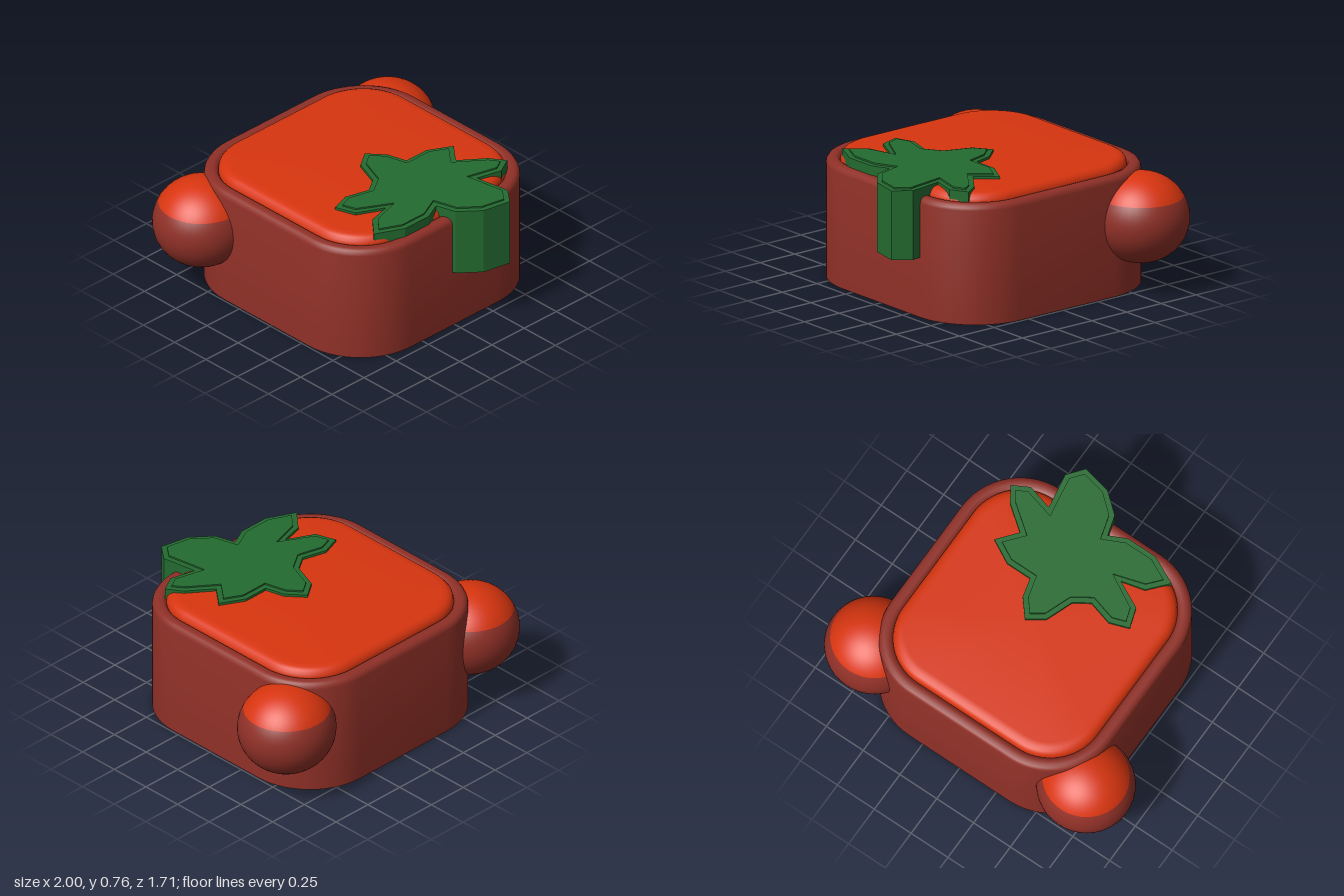
import * as THREE from 'three';
import { toCreasedNormals } from 'three/addons/utils/BufferGeometryUtils.js';

const paint = (name, color) => {
  const m = new THREE.MeshStandardMaterial({ color });
  m.name = name;
  return m;
};

// Rounded rectangle ring, counter-clockwise seen from above
const HALF = 0.74, CORNER = 0.4, CENTRE_Z = -0.04, STEPS = 14;
function ring(inset, y) {
  const pts = [];
  const r = Math.max(CORNER - inset, 0);
  const c = HALF - inset - r;
  for (let q = 0; q < 4; q++) {
    const mid = (q + 0.5) * Math.PI / 2;
    const cx = Math.sign(Math.cos(mid)) * c, cz = -Math.sign(Math.sin(mid)) * c;
    for (let i = 0; i <= STEPS; i++) {
      const a = (q + i / STEPS) * Math.PI / 2;
      pts.push([cx + r * Math.cos(a), y, CENTRE_Z + cz - r * Math.sin(a)]);
    }
  }
  return pts;
}

// Skin over rings described by [inset, height]
function loft(profile) {
  const rings = profile.map(([d, y]) => ring(d, y));
  const n = rings[0].length, index = [];
  for (let k = 0; k < rings.length - 1; k++) {
    for (let j = 0; j < n; j++) {
      const a = k * n + j, b = k * n + (j + 1) % n;
      index.push(a, b, b + n, a, b + n, a + n);
    }
  }
  const g = new THREE.BufferGeometry();
  g.setAttribute('position', new THREE.Float32BufferAttribute(rings.flat(2), 3));
  g.setIndex(index);
  return toCreasedNormals(g, 0.7);
}

// Leaf outline as [x, z]
const LEAF = [
  [0.05, -0.07], [-0.05, 0], [-0.11, 0.16], [-0.2, 0.22], [-0.345, 0.18], [-0.46, 0.22],
  [-0.42, 0.34], [-0.26, 0.42], [-0.4, 0.455], [-0.5, 0.57], [-0.335, 0.65], [-0.15, 0.65],
  [-0.045, 0.6], [-0.01, 0.72], [0.11, 0.82], [0.28, 0.855], [0.355, 0.76], [0.32, 0.55],
  [0.47, 0.59], [0.57, 0.535], [0.51, 0.445], [0.365, 0.335], [0.46, 0.22], [0.32, 0.145],
  [0.165, 0.145], [0.135, 0.03],
].map(([x, z]) => new THREE.Vector2(x, -z));

// Mitred inset of a counter-clockwise outline
function insetOutline(pts, d) {
  return pts.map((p, i) => {
    const u = p.clone().sub(pts[(i + pts.length - 1) % pts.length]).normalize();
    const v = pts[(i + 1) % pts.length].clone().sub(p).normalize();
    const nu = new THREE.Vector2(-u.y, u.x), nv = new THREE.Vector2(-v.y, v.x);
    const m = nu.clone().add(nv).normalize();
    return p.clone().addScaledVector(m, d / Math.max(m.dot(nu), 0.5));
  });
}

function slab(outline, y0, y1) {
  const g = new THREE.ExtrudeGeometry(new THREE.Shape(outline), { depth: y1 - y0, bevelEnabled: false });
  return g.rotateX(-Math.PI / 2).translate(0, y0, 0);
}

export function createModel() {
  const brown = paint('brown red', 0x8f3027);
  const red = paint('bright red', 0xd8350f);
  const green = paint('leaf green', 0x246b30);

  const model = new THREE.Group();
  model.name = 'model';
  const add = (name, geometry, material, parent = model) => {
    const mesh = new THREE.Mesh(geometry, material);
    mesh.name = name;
    parent.add(mesh);
    return mesh;
  };

  // Outer shell with a rounded rim
  add('shell', loft([
    [0.08, 0], [0, 0], [0, 0.665], [0.004, 0.68], [0.014, 0.693], [0.03, 0.7],
    [0.055, 0.7], [0.07, 0.695], [0.08, 0.68],
  ]), brown);

  // Filling that bulges above the rim
  add('filling', loft([
    [HALF, 0], [0.08, 0], [0.08, 0.69], [0.085, 0.71], [0.1, 0.727], [0.12, 0.737],
    [0.15, 0.74], [HALF, 0.74],
  ]), red);

  // Ears: squashed spheres with a red cap
  const cut = Math.acos(0.125 / 0.26);
  for (const [side, name] of [[1, 'leftEar'], [-1, 'rightEar']]) {
    const ear = new THREE.Group();
    ear.name = name;
    ear.position.set(side * 0.72, 0.425, -0.58);
    ear.scale.set(0.28, 0.26, 0.275);
    add('earBase', new THREE.SphereGeometry(1, 40, 20, 0, Math.PI * 2, cut, Math.PI - cut), brown, ear);
    add('earCap', new THREE.SphereGeometry(1, 40, 10, 0, Math.PI * 2, 0, cut), red, ear);
    model.add(ear);
  }

  // Leaf sunk into the top, its front lobe hanging over the edge
  add('leaf', slab(LEAF, 0.35, 0.755), green);
  add('leafTop', slab(insetOutline(LEAF, 0.03), 0.755, 0.764), green);

  return model;
}
